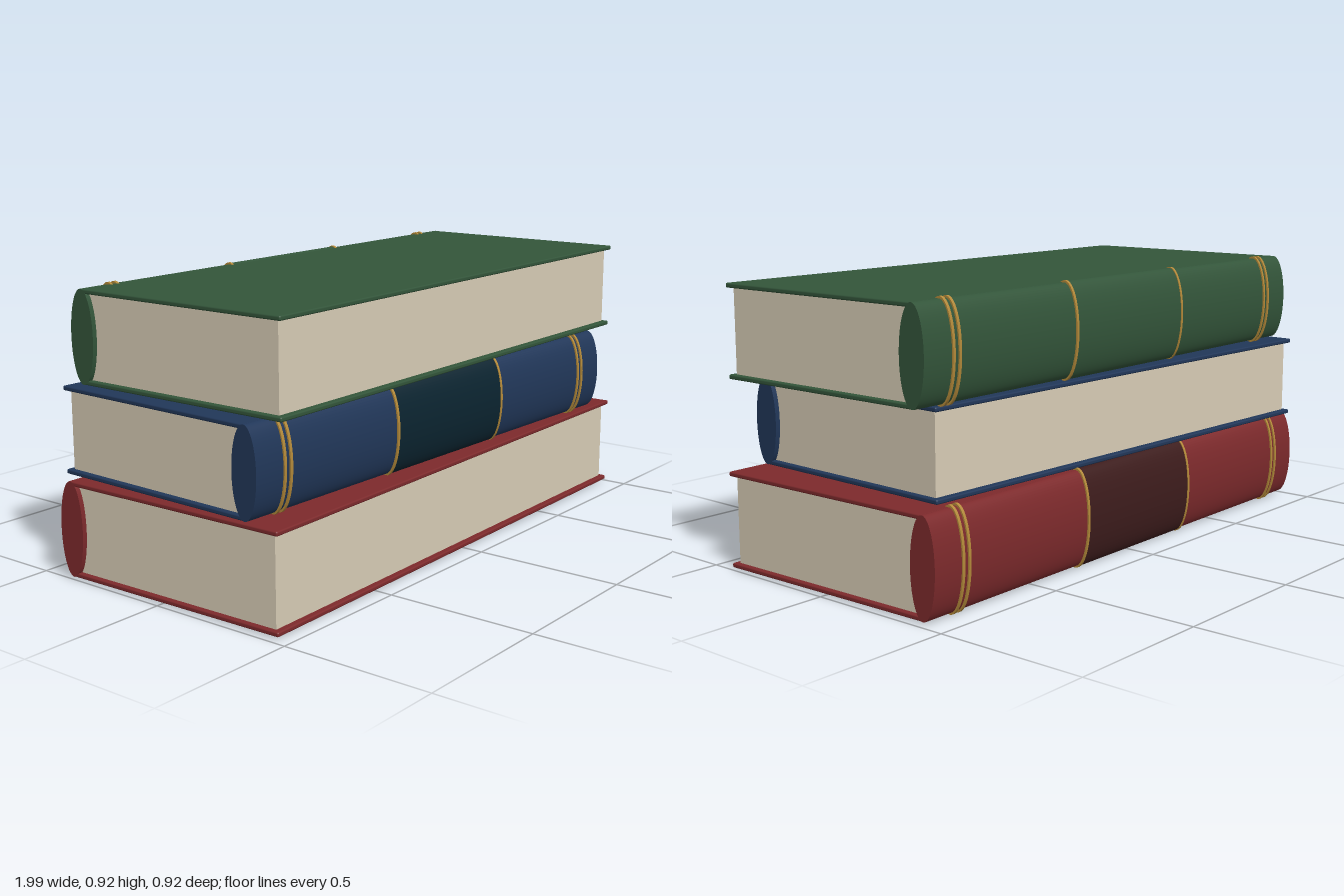
import * as THREE from 'three';
import { RoundedBoxGeometry } from 'three/addons/geometries/RoundedBoxGeometry.js';

const mat = (name, color) => Object.assign(new THREE.MeshStandardMaterial({ color }), { name });

// elliptical cylinder lying along x
function barrel(name, material, length, ry, rz, x, y, z) {
  const g = new THREE.CylinderGeometry(1, 1, length, 64);
  g.rotateZ(Math.PI / 2).scale(1, ry, rz);
  const m = new THREE.Mesh(g, material);
  m.name = name;
  m.position.set(x, y, z);
  return m;
}

// book with its spine at -z and fore-edge at +z
function makeBook(b, pageMat, goldMat) {
  const book = new THREE.Group();
  book.name = b.name;
  const h = b.top - b.bottom, mid = (b.top + b.bottom) / 2, t = 0.015;

  // boards, running from the spine centre to the fore-edge
  const depth = b.fore - b.spineZ;
  for (const s of [1, -1]) {
    const board = new THREE.Mesh(new RoundedBoxGeometry(b.half * 2, t, depth, 2, 0.005), b.cover);
    board.name = s > 0 ? 'topBoard' : 'bottomBoard';
    board.position.set(0, mid + s * (h - t) / 2, b.spineZ + depth / 2);
    book.add(board);
  }

  // page block, set in from the boards
  const pd = depth - 0.02;
  const pages = new THREE.Mesh(new THREE.BoxGeometry(b.half * 2 - 0.032, h - 2 * t + 0.002, pd), pageMat);
  pages.name = 'pages';
  pages.position.set(0, mid, b.spineZ + pd / 2);
  book.add(pages);

  // rounded spine, title panel and gold bands
  const ry = h / 2, rz = 0.048;
  book.add(barrel('spine', b.cover, b.half * 2, ry, rz, 0, mid, b.spineZ));
  book.add(barrel('spinePanel', b.panel, 0.56, ry + 0.004, rz + 0.003, 0, mid, b.spineZ));
  for (const s of [-1, 1]) {
    for (const x of [0.282, b.half - 0.143, b.half - 0.117]) {
      book.add(barrel('goldBand', goldMat, 0.01, ry + 0.007, rz + 0.005, s * x, mid, b.spineZ));
    }
  }

  book.position.x = b.x;
  book.rotation.y = b.turn;
  return book;
}

export function createModel() {
  const model = new THREE.Group();
  model.name = 'bookStack';
  const red = mat('red cloth', 0x7d2a2c), darkRed = mat('dark red panel', 0x3d1c1c);
  const blue = mat('blue cloth', 0x213759), darkBlue = mat('dark blue panel', 0x0b2430);
  const green = mat('green cloth', 0x33553a);
  const cream = mat('cream paper', 0xd8cdb6), gold = mat('gold', 0xb48a3a);

  const books = [
    { name: 'bottomBook', cover: red, panel: darkRed, half: 0.988, bottom: 0.008, top: 0.32, spineZ: -0.391, fore: 0.44, x: 0, turn: 0.02 },
    { name: 'middleBook', cover: blue, panel: darkBlue, half: 0.92, bottom: 0.324, top: 0.607, spineZ: -0.365, fore: 0.407, x: -0.045, turn: Math.PI - 0.03 },
    { name: 'topBook', cover: green, panel: green, half: 0.955, bottom: 0.614, top: 0.913, spineZ: -0.373, fore: 0.42, x: 0.031, turn: 0.01 },
  ];
  for (const b of books) model.add(makeBook(b, cream, gold));
  return model;
}
